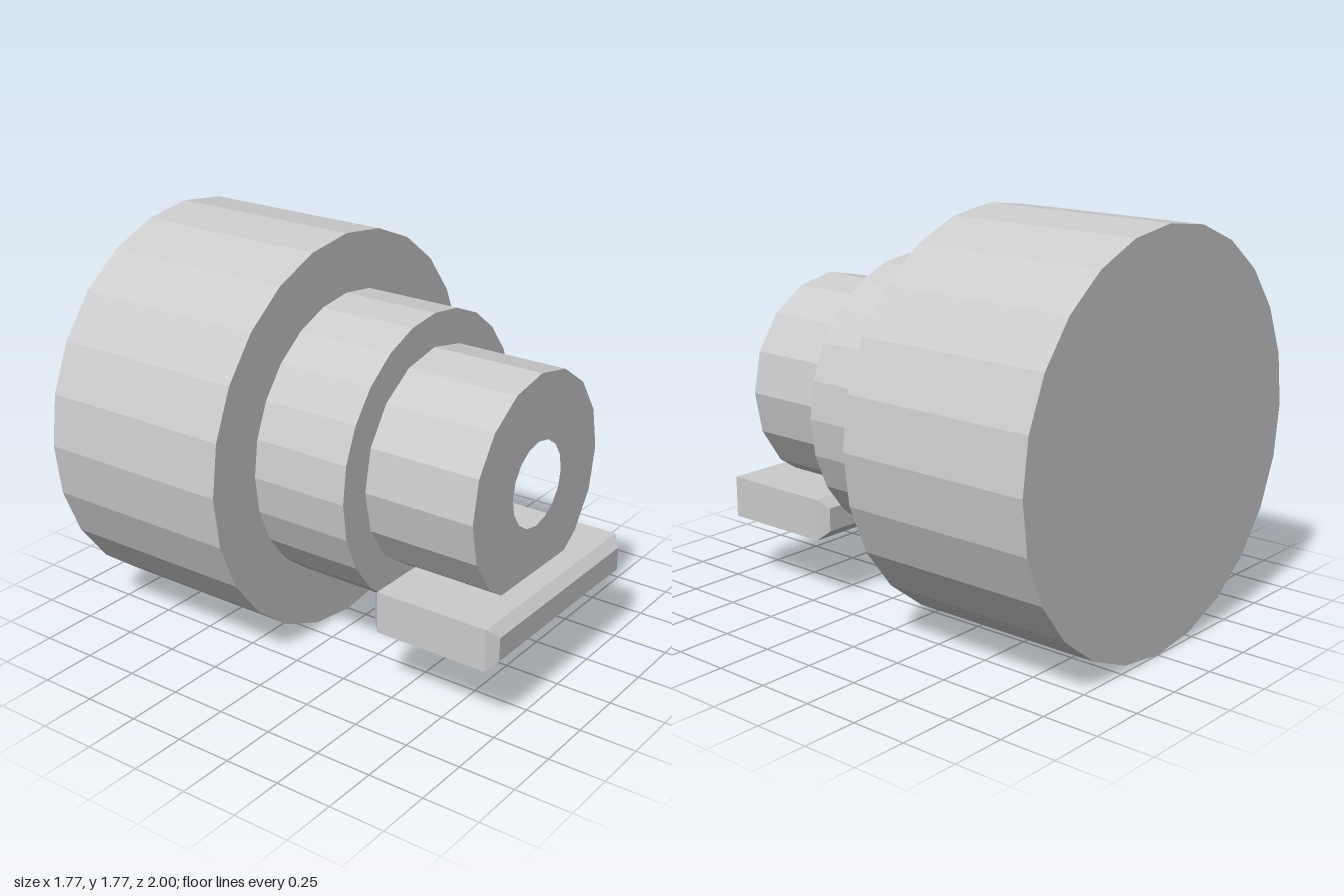
import * as THREE from 'three';

const AXIS_Y = 0.885;

// Regular polygon path with a corner at the top
function polygon(PathType, radius, sides) {
  const points = [];
  for (let i = 0; i < sides; i++) {
    const a = (i / sides) * Math.PI * 2;
    points.push(new THREE.Vector2(Math.sin(a) * radius, Math.cos(a) * radius));
  }
  return new PathType(points);
}

export function createModel() {
  const group = new THREE.Group();
  const grey = new THREE.MeshStandardMaterial({ color: 0xcccccc, flatShading: true });
  grey.name = 'grey';

  function add(name, geometry) {
    const mesh = new THREE.Mesh(geometry, grey);
    mesh.name = name;
    group.add(mesh);
  }

  // Faceted drum lying along z
  function drum(name, radius, sides, z0, z1) {
    const geometry = new THREE.CylinderGeometry(radius, radius, z1 - z0, sides);
    geometry.rotateX(Math.PI / 2);
    geometry.translate(0, AXIS_Y, (z0 + z1) / 2);
    add(name, geometry);
  }

  drum('mainBody', 0.885, 24, -1, -0.1);
  drum('middleCollar', 0.627, 24, -0.1, 0.35);

  // Nose with a round bore
  const noseShape = polygon(THREE.Shape, 0.48, 16);
  noseShape.holes.push(polygon(THREE.Path, 0.188, 16));
  const nose = new THREE.ExtrudeGeometry(noseShape, { depth: 0.51, bevelEnabled: false });
  nose.translate(0, AXIS_Y, 0.35);
  add('nose', nose);

  // Flat plate under the nose, chamfered at both ends
  const plateShape = new THREE.Shape([
    new THREE.Vector2(-0.48, 0.34),
    new THREE.Vector2(0.48, 0.34),
    new THREE.Vector2(0.48, 0.444),
    new THREE.Vector2(-0.48, 0.444),
  ]);
  const plate = new THREE.ExtrudeGeometry(plateShape, {
    depth: 0.52,
    bevelThickness: 0.04,
    bevelSize: 0.041,
    bevelSegments: 1,
  });
  plate.translate(0, 0, 0.44);
  add('lowerPlate', plate);

  return group;
}
